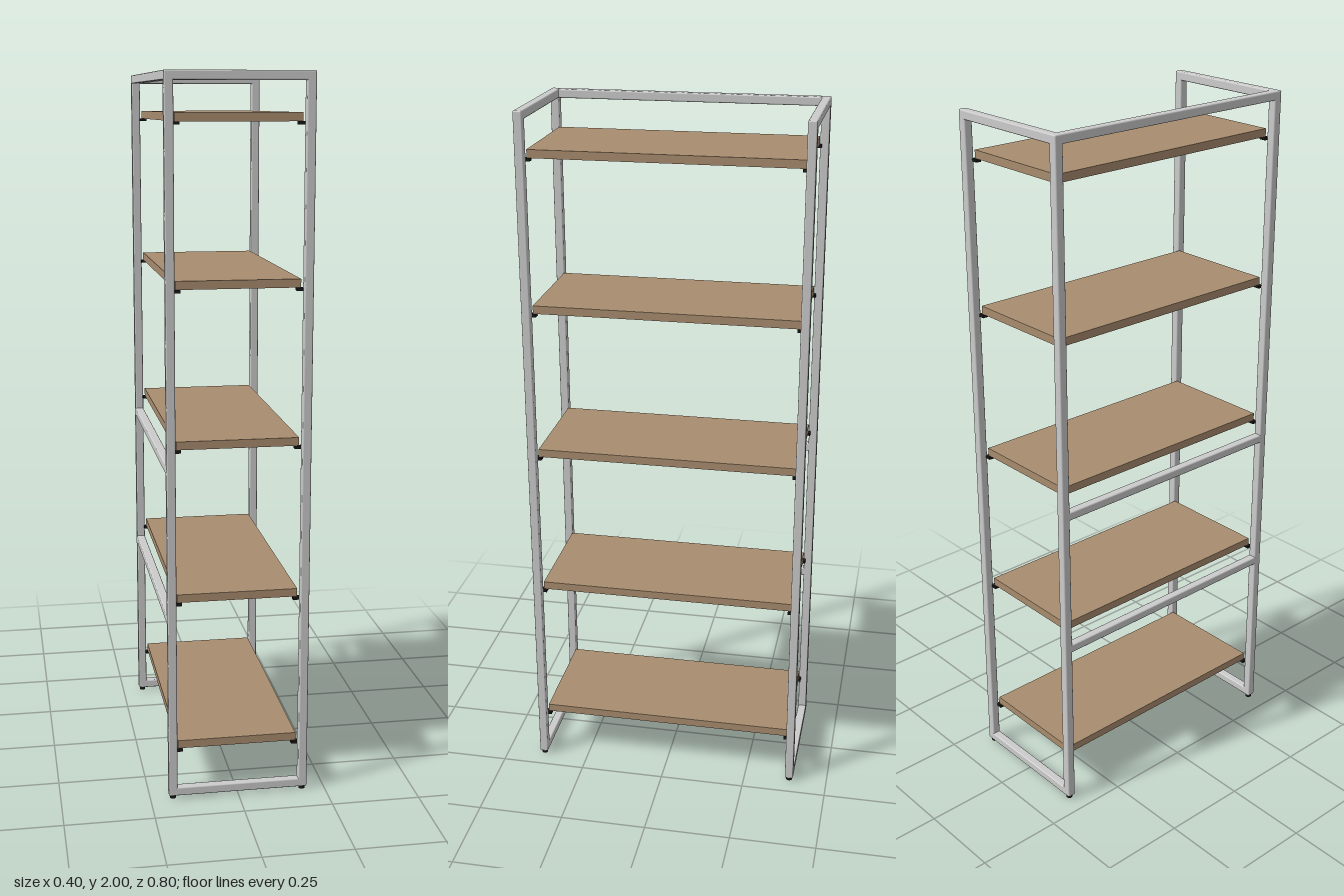
import * as THREE from 'three';
import { RoundedBoxGeometry } from 'three/addons/geometries/RoundedBoxGeometry.js';

const TUBE = 0.025; // square tube width
const PX = 0.186, PZ = 0.387; // post centres
const FOOT = 0.009;

export function createModel() {
  const group = new THREE.Group();
  const metal = new THREE.MeshStandardMaterial({ color: 0xcccccc });
  const wood = new THREE.MeshStandardMaterial({ color: 0xa88c6e });
  const rubber = new THREE.MeshStandardMaterial({ color: 0x181818 });

  const add = (name, geometry, material, x, y, z) => {
    const mesh = new THREE.Mesh(geometry, material);
    mesh.name = name;
    mesh.position.set(x, y, z);
    group.add(mesh);
  };
  const tube = (name, w, h, d, x, y, z) =>
    add(name, new RoundedBoxGeometry(w, h, d, 3, 0.004), metal, x, y, z);

  // Side frames: two posts joined by a top and a bottom rail
  for (const sz of [-1, 1]) {
    const z = sz * PZ;
    for (const sx of [-1, 1]) {
      const x = sx * PX;
      tube('post', TUBE, 2 - FOOT, TUBE, x, (2 + FOOT) / 2, z);
      add('foot', new THREE.CylinderGeometry(0.009, 0.009, 0.012, 20), rubber, x, 0.006, z);
    }
    tube('topSideRail', 2 * PX + TUBE, TUBE, TUBE, 0, 2 - TUBE / 2, z);
    tube('bottomSideRail', 2 * PX, TUBE, TUBE, 0, FOOT + TUBE / 2, z);
  }

  // Long rails across the back of the rack
  for (const y of [0.527, 0.953, 2 - TUBE / 2]) {
    tube('backRail', TUBE, TUBE, 2 * PZ, -PX, y, 0);
  }

  // Shelves resting on small corner supports
  for (let i = 0; i < 5; i++) {
    const y = 0.153 + i * 0.4325;
    add('shelf', new THREE.BoxGeometry(0.338, 0.023, 0.748), wood, 0, y, 0);
    for (const sx of [-1, 1]) for (const sz of [-1, 1]) {
      add('shelfSupport', new THREE.BoxGeometry(0.02, 0.008, 0.016), rubber,
        sx * 0.166, y - 0.0155, sz * 0.372);
    }
  }
  return group;
}
